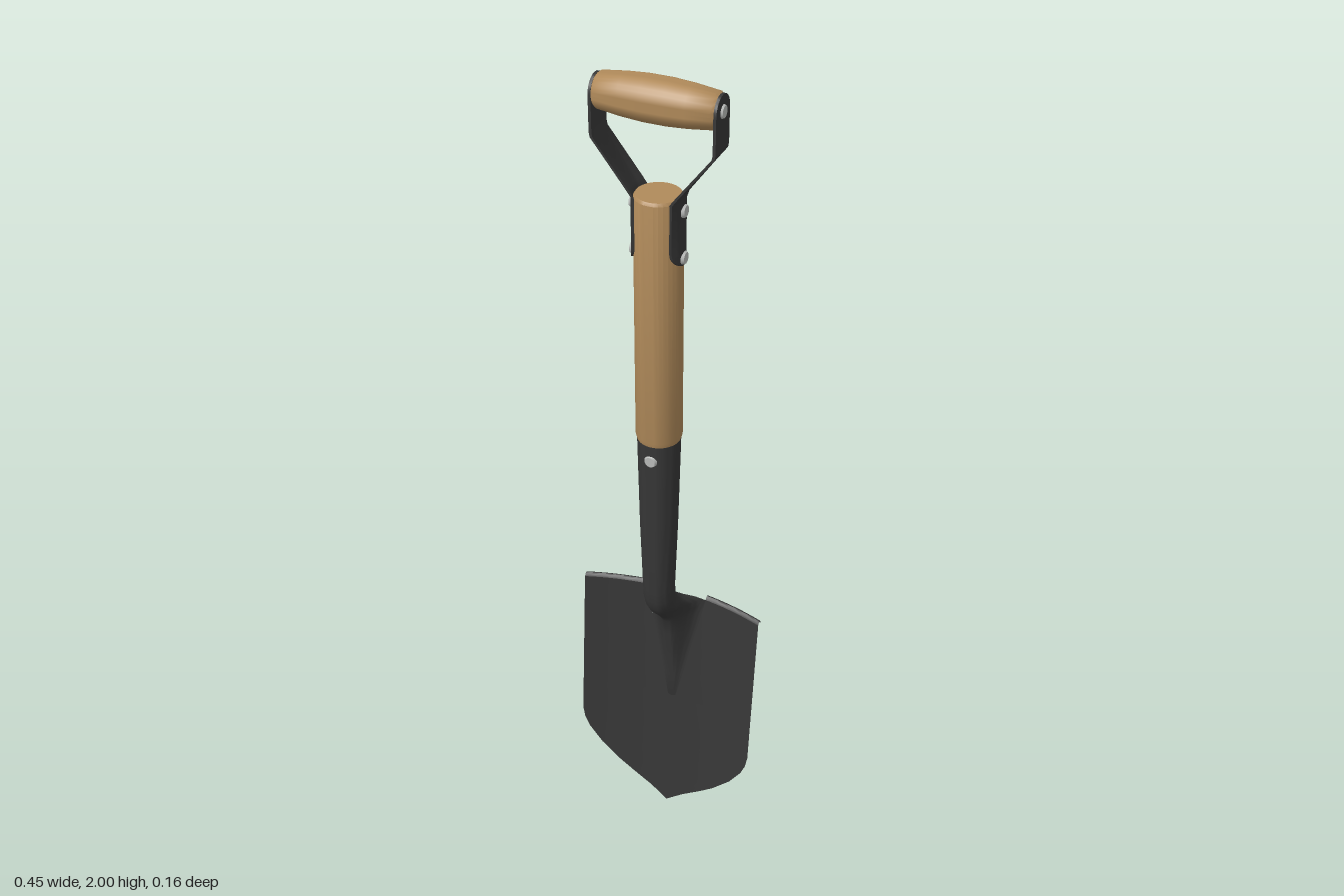
import * as THREE from 'three';
import { toCreasedNormals } from 'three/addons/utils/BufferGeometryUtils.js';

const AXIS_Z = 0.025; // depth of the handle axis

// Skin a list of equally long cross-sections, each a list of [x, y, z]
function loft(rings, closed = false, crease = 0.7) {
  const n = rings[0].length, index = [];
  for (let i = 0; i + 1 < rings.length; i++) {
    for (let j = 0; j < (closed ? n : n - 1); j++) {
      const a = i * n + j, b = i * n + (j + 1) % n;
      index.push(a, b, a + n, b, b + n, a + n);
    }
  }
  const geo = new THREE.BufferGeometry();
  geo.setAttribute('position', new THREE.Float32BufferAttribute(rings.flat(2), 3));
  geo.setIndex(index);
  return toCreasedNormals(geo, crease);
}

const steps = (n, f) => Array.from({ length: n + 1 }, (_, i) => f(i / n));

// Interpolate a table of [key, value] sorted by key
function lookup(table, k) {
  if (k <= table[0][0]) return table[0][1];
  for (let i = 1; i < table.length; i++) {
    const [k0, v0] = table[i - 1], [k1, v1] = table[i];
    if (k <= k1) return v0 + (v1 - v0) * (k - k0) / (k1 - k0);
  }
  return table[table.length - 1][1];
}

// Dished, tilted surface of the blade
const bladeZ = (x, y) => -0.016 - 0.09 * y + 0.04 * (x / 0.225) ** 2;
const BLADE_TOP = 0.666;
const outline = [[0, 0], [0.035, 0.045], [0.07, 0.094], [0.1, 0.13], [0.15, 0.176],
  [0.2, 0.208], [0.23, 0.22], [0.26, 0.225]];
const groove = [[0.345, 0], [0.35, 0.011], [0.42, 0.026], [0.52, 0.046], [0.62, 0.068], [BLADE_TOP, 0.077]];

export function createModel() {
  const group = new THREE.Group();
  const material = (name, color) => {
    const m = new THREE.MeshStandardMaterial({ color, side: THREE.DoubleSide });
    m.name = name;
    return m;
  };
  const wood = material('wood', 0xb08a5a);
  const metal = material('darkSteel', 0x363636);
  const steel = material('rivetSteel', 0xb8bab8);
  const add = (name, geo, mat, x = 0, y = 0, z = 0) => {
    const mesh = new THREE.Mesh(geo, mat);
    mesh.name = name;
    mesh.position.set(x, y, z);
    group.add(mesh);
    return mesh;
  };

  // Blade halves either side of the open groove, with a lip rolled backwards
  const rows = [0, 0.015, 0.035, 0.07, 0.1, 0.15, 0.2, 0.23, 0.26, 0.345, 0.35, 0.42, 0.52, 0.62, BLADE_TOP];
  const lip = [[0, 0], [0.005, -0.003], [0.007, -0.008], [0.005, -0.013], [-0.004, -0.016]];
  for (const side of [1, -1]) {
    const label = side > 0 ? 'left' : 'right';
    add(label + 'Blade', loft(rows.map(y => steps(12, t => {
      const x = THREE.MathUtils.lerp(lookup(groove, y), lookup(outline, y), t);
      return [side * x, y, bladeZ(x, y)];
    }))), metal);
    add(label + 'TreadLip', loft(lip.map(([dy, dz]) => steps(12, t => {
      const x = THREE.MathUtils.lerp(0.077, 0.225, t);
      return [side * x, BLADE_TOP + dy, bladeZ(x, BLADE_TOP) + dz];
    }))), metal);
  }

  // Socket: a round tube that bends back and opens into the blade's ridge
  // [y, front z, back z, radius, openness]; openness 1 lies on the blade
  const socket = [
    [1.185, 0.073, -0.023, 0.048, 0], [0.95, 0.07, -0.016, 0.043, 0],
    [0.77, 0.066, -0.01, 0.037, 0], [0.735, 0.063, -0.014, 0.037, 0],
    [0.71, 0.056, -0.025, 0.037, 0.08], [0.69, 0.045, -0.045, 0.038, 0.35],
    [0.677, 0.034, -0.062, 0.038, 0.7], [BLADE_TOP, 0.024, 0, 0.038, 1],
    [0.645, 0.006, 0, 0, 1], [0.62, -0.012, 0, 0, 1], [0.57, -0.021, 0, 0, 1],
    [0.52, -0.027, 0, 0, 1], [0.42, -0.043, 0, 0, 1], [0.35, -0.045, 0, 0, 1], [0.345, -0.047, 0, 0, 1],
  ];
  add('socket', loft(socket.map(([y, front, back, r, k]) => steps(32, t => {
    const s = t * 2 - 1, h = lookup(groove, y);
    const rear = k === 1 ? bladeZ(h, y) : back;
    const x = r * Math.sin(Math.PI * s) * (1 - k) + h * s * k;
    return [x, y, front + (rear - front) * (1 - Math.cos(Math.PI * s)) / 2];
  })), false, 1), metal);

  // Tapered wooden core, seen through the open back of the socket
  const core = [[1.17, 0.025, 0.044], [0.76, 0.028, 0.033], [0.72, 0.021, 0.033],
    [0.68, -0.002, 0.028], [0.64, -0.03, 0.021], [0.6, -0.044, 0.012], [0.58, -0.049, 0]];
  add('shaftCore', loft(core.map(([y, z, r]) => steps(24, t => {
    const a = t * Math.PI * 2;
    return [r * Math.sin(a), y, z + r * Math.cos(a)];
  }))), wood);

  // Wooden shaft
  const turned = (pts, n = 32) =>
    toCreasedNormals(new THREE.LatheGeometry(pts.map(p => new THREE.Vector2(...p)), n), 0.6);
  add('shaft', turned([[0, 1.18], [0.047, 1.18], [0.051, 1.195], [0.051, 1.757], [0.047, 1.763], [0, 1.763]]),
    wood, 0, 0, AXIS_Z);

  // Barrel-shaped cross grip
  const grip = add('grip', turned([[0, -0.126], [0.033, -0.126], [0.037, -0.121], [0.043, -0.07], [0.046, -0.025],
    [0.046, 0.025], [0.043, 0.07], [0.037, 0.121], [0.033, 0.126], [0, 0.126]]), wood, 0, 1.956, AXIS_Z);
  grip.rotation.z = Math.PI / 2;

  // Yoke straps: rounded at both ends, wrapped round the shaft below
  // [y, x, half width, wrap]
  const HALF = 0.034, path = [];
  for (let i = 0; i <= 6; i++) {
    const a = i / 6 * Math.PI / 2;
    path.push([1.956 + HALF * Math.cos(a), 0.126, HALF * Math.sin(a), 0]);
  }
  path.push([1.88, 0.126, HALF, 0], [1.87, 0.124, HALF, 0], [1.775, 0.054, HALF, 0.3],
    [1.757, 0.05, HALF, 1], [1.65, 0.05, HALF, 1]);
  for (let i = 1; i <= 6; i++) {
    const a = i / 6 * Math.PI / 2;
    path.push([1.65 - HALF * Math.sin(a), 0.05, HALF * Math.cos(a), 1]);
  }
  const rivet = new THREE.CylinderGeometry(0.012, 0.015, 0.006, 20);
  for (const side of [1, -1]) {
    const label = side > 0 ? 'left' : 'right';
    add(label + 'YokeStrap', loft(path.map(([y, x, w, wrap]) => {
      const face = thick => steps(8, t => {
        const z = (t * 2 - 1) * w;
        const bend = 0.051 - Math.sqrt(0.051 ** 2 - z * z);
        return [side * (x + thick - bend * wrap), y, AXIS_Z + z];
      });
      return [...face(0.006), ...face(0).reverse()];
    }), true), metal);

    // Rivets through the straps
    [[0.133, 1.956], [0.057, 1.735], [0.057, 1.632]].forEach(([x, y]) => {
      add(label + 'YokeRivet', rivet, steel, side * x, y, AXIS_Z).rotation.z = -side * Math.PI / 2;
    });
    // Rivet through the socket, front and back
    add(side > 0 ? 'frontSocketRivet' : 'backSocketRivet', rivet, steel, 0, 1.145, AXIS_Z + side * 0.048)
      .rotation.x = side * Math.PI / 2;
  }
  return group;
}
